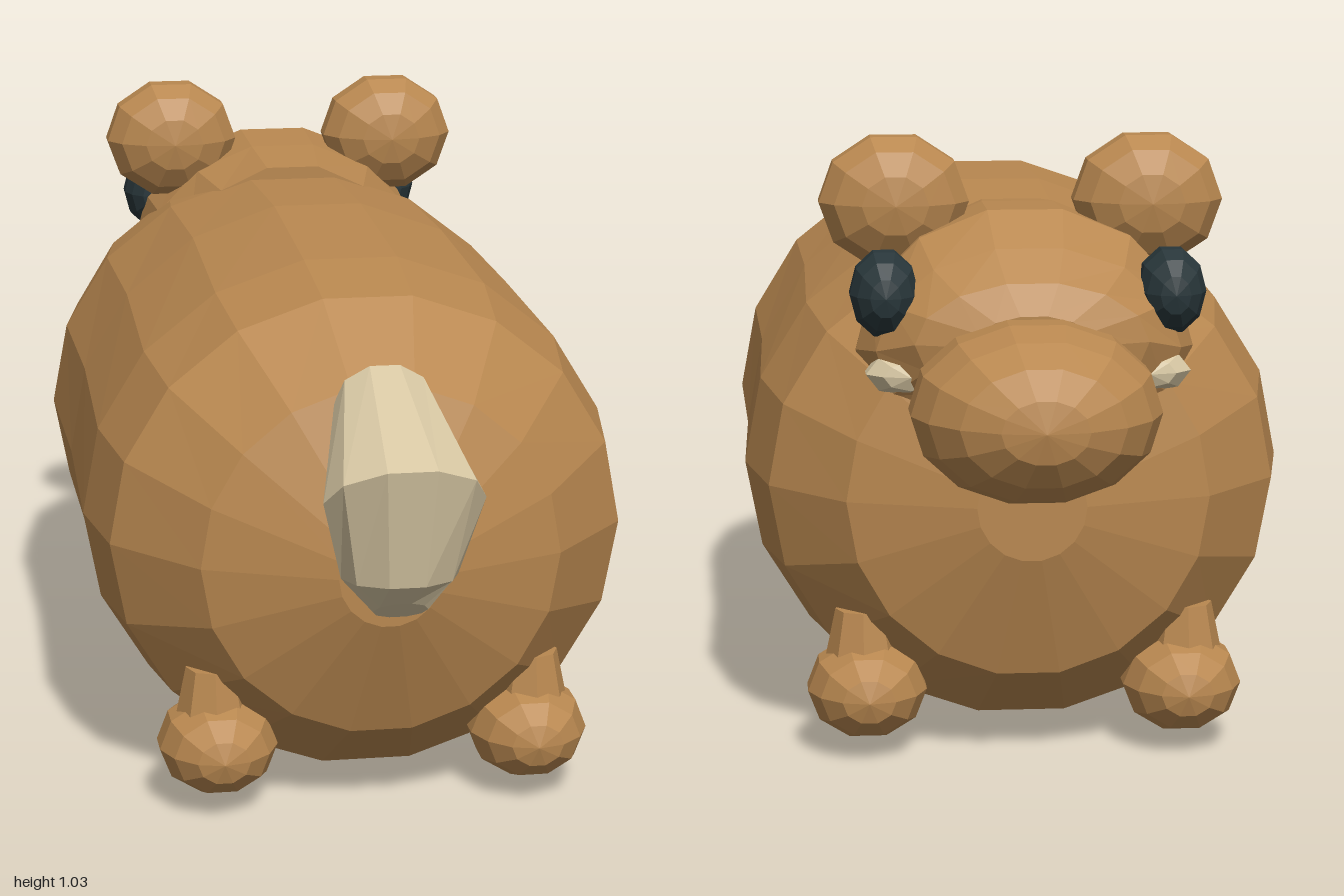
import * as THREE from 'three';

const make = (name, hex) => {
  const m = new THREE.MeshStandardMaterial({ color: hex });
  m.name = name;
  return m;
};

// Faceted mesh: every triangle keeps its own normal
function facet(geometry, material, name) {
  const g = geometry.index ? geometry.toNonIndexed() : geometry;
  g.computeVertexNormals();
  const mesh = new THREE.Mesh(g, material);
  mesh.name = name;
  return mesh;
}

// Closed skin over elliptical sections: [centre y, centre z, half width, half-axis y, half-axis z]
function loft(sections, sides) {
  const pos = [], idx = [], last = sections.length - 1;
  for (const [y, z, w, vy, vz] of sections) {
    for (let j = 0; j < sides; j++) {
      const a = (j / sides) * Math.PI * 2, s = Math.sin(a);
      pos.push(w * Math.cos(a), y + vy * s, z + vz * s);
    }
  }
  for (let i = 0; i < last; i++) {
    for (let j = 0; j < sides; j++) {
      const k = (j + 1) % sides;
      const a = i * sides + j, b = i * sides + k;
      idx.push(a, b, b + sides, a, b + sides, a + sides);
    }
  }
  const n = sections.length * sides;
  pos.push(0, sections[0][0], sections[0][1], 0, sections[last][0], sections[last][1]);
  for (let j = 0; j < sides; j++) {
    const k = (j + 1) % sides;
    idx.push(n, k, j, n + 1, last * sides + j, last * sides + k);
  }
  const g = new THREE.BufferGeometry();
  g.setAttribute('position', new THREE.Float32BufferAttribute(pos, 3));
  g.setIndex(idx);
  return g;
}

// Low-poly ellipsoid with its poles along z
function blob(name, material, [x, y, z], [rx, ry, rz], around = 10, rows = 7) {
  const g = new THREE.SphereGeometry(1, around, rows).rotateX(Math.PI / 2).scale(rx, ry, rz);
  const mesh = facet(g, material, name);
  mesh.position.set(x, y, z);
  return mesh;
}

export function createModel() {
  const fur = make('brown fur', 0xb98850);
  const cream = make('cream', 0xd8c8a4);
  const dark = make('dark eye', 0x28363a);
  const model = new THREE.Group();
  model.name = 'animal';

  // Barrel body
  const body = [
    [-0.755, 0.09, 0.09], [-0.69, 0.3, 0.3], [-0.55, 0.425, 0.405], [-0.35, 0.463, 0.432],
    [0, 0.456, 0.452], [0.38, 0.465, 0.44], [0.56, 0.435, 0.415], [0.715, 0.3, 0.3], [0.8, 0.085, 0.085],
  ].map(([z, w, h]) => [0.45, z, w, h, 0]);
  model.add(facet(loft(body, 18), fur, 'body'));

  // Head sunk into the front of the body
  const head = [
    [0.72, -0.78, 0.1, 0.05, 0], [0.72, -0.75, 0.19, 0.1, 0], [0.7, -0.69, 0.25, 0.17, 0],
    [0.69, -0.61, 0.28, 0.235, 0], [0.69, -0.46, 0.27, 0.23, 0], [0.69, -0.32, 0.22, 0.215, 0],
  ];
  model.add(facet(loft(head, 14), fur, 'head'));
  model.add(blob('snout', fur, [0, 0.62, -0.8], [0.205, 0.15, 0.2], 14, 9));

  // Paired parts
  for (const s of [1, -1]) {
    const side = s > 0 ? 'left' : 'right';
    model.add(blob(side + 'Ear', fur, [s * 0.212, 0.925, -0.52], [0.128, 0.116, 0.09]));
    model.add(blob(side + 'Eye', dark, [s * 0.235, 0.792, -0.664], [0.058, 0.074, 0.074]));
    model.add(blob(side + 'Cheek', cream, [s * 0.195, 0.662, -0.672], [0.075, 0.04, 0.055], 8, 5));
    for (const [end, z] of [['Front', -0.605], ['Back', 0.625]]) {
      model.add(blob(side + end + 'Foot', fur, [s * 0.265, 0.115, z], [0.102, 0.086, 0.116]));
      const leg = facet(new THREE.CylinderGeometry(0.045, 0.07, 0.12, 8), fur, side + end + 'Leg');
      leg.position.set(s * 0.272, 0.19, z);
      model.add(leg);
    }
  }

  // Tail root and drooping cream tuft
  const root = [[0.58, 0.68, 0.06, 0.06, 0], [0.6, 0.9, 0.06, 0.045, 0]];
  model.add(facet(loft(root, 8), fur, 'tailRoot'));
  const tuft = [
    [0.725, 0.715, 0.08, 0.065, 0.015], [0.62, 0.925, 0.13, 0.07, 0.075],
    [0.48, 0.88, 0.095, 0.005, 0.08], [0.425, 0.89, 0.045, 0.02, 0.025],
  ];
  model.add(facet(loft(tuft, 10), cream, 'tailTuft'));

  return model;
}
